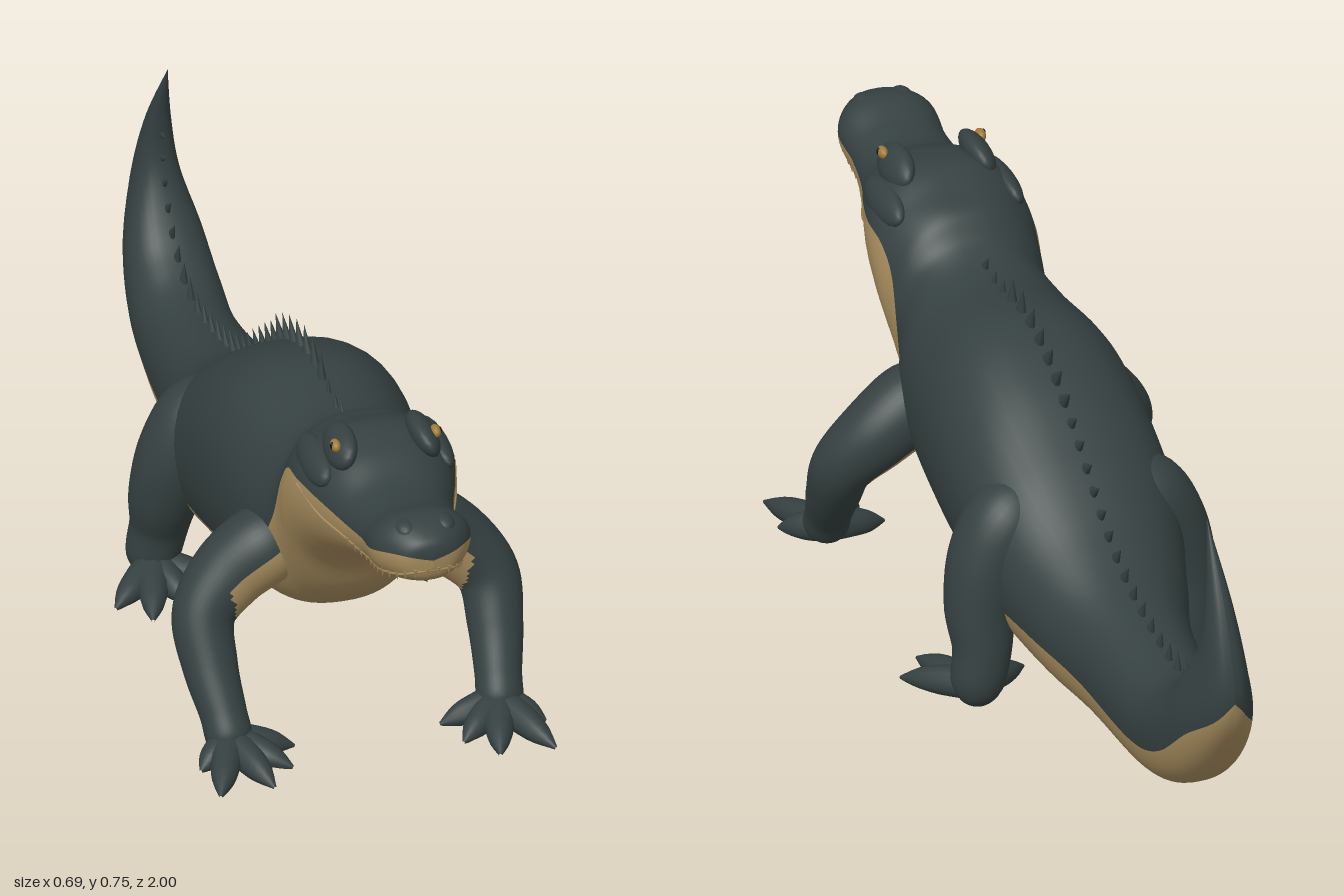
import * as THREE from 'three';

const mat = (name, color) => Object.assign(new THREE.MeshStandardMaterial({ color }), { name });
const HIDE = mat('dark hide', 0x354040), BELLY = mat('tan belly', 0xa48a5c);
const IRIS = mat('amber eye', 0xa07a35), PUPIL = mat('pupil black', 0x101312);

// Body sections, snout to tail: top z, top y, bottom z, bottom y, half width,
// height of the colour border (0..1)
const SECTIONS = [
  [1, .66, 1, .635, 0, .66],
  [.985, .692, .985, .602, .055, .66],
  [.92, .715, .92, .572, .098, .53],
  [.84, .693, .84, .55, .098, .55],
  [.76, .69, .76, .52, .11, .58],
  [.68, .722, .68, .485, .137, .6],
  [.6, .735, .6, .44, .16, .65],
  [.53, .712, .53, .38, .166, .72],
  [.47, .69, .48, .3, .158, .67],
  [.42, .64, .43, .25, .158, .5],
  [.33, .614, .33, .185, .188, .28],
  [.15, .628, .15, .135, .208, .24],
  [0, .58, 0, .108, .212, .21],
  [-.15, .487, -.15, .08, .204, .31],
  [-.3, .378, -.3, .06, .164, .41],
  [-.45, .316, -.45, .053, .12, .42],
  [-.66, .285, -.67, .055, .097, .39],
  [-.77, .32, -.82, .115, .092, .35],
  [-.835, .385, -.935, .235, .077, .27],
  [-.877, .475, -.998, .37, .046, 0],
  [-.877, .575, -.95, .54, .024, 0],
  [-.842, .703, -.845, .703, 0, 0],
];
const WIDEST = .53; // height of the widest point in every section

// Smooth interpolation between the rows of a table
function sample(rows, t) {
  const last = rows.length - 1, i = Math.min(Math.floor(t), last - 1), f = t - i;
  const row = k => rows[Math.max(0, Math.min(last, k))];
  const [a, b, c, d] = [row(i - 1), row(i), row(i + 1), row(i + 2)];
  return b.map((_, k) => b[k] + .5 * f * (c[k] - a[k]
    + f * (2 * a[k] - 5 * b[k] + 4 * c[k] - d[k] + f * (3 * (b[k] - c[k]) + d[k] - a[k]))));
}

// Skin over closed rings; light(i, j) picks the tan material
function loft(rings, light) {
  const n = rings[0].length, dark = [], tan = [];
  for (let i = 0; i < rings.length - 1; i++) for (let j = 0; j < n; j++) {
    const a = i * n + j, b = i * n + (j + 1) % n;
    (light(i, j) ? tan : dark).push(a, b, a + n, b, b + n, a + n);
  }
  const g = new THREE.BufferGeometry().setFromPoints(rings.flat());
  g.setIndex([...dark, ...tan]);
  g.addGroup(0, dark.length, 0);
  g.addGroup(dark.length, tan.length, 1);
  g.computeVertexNormals();
  return g;
}

// Angle around a section (0 at the top) for a given height, and the point there
const thetaAt = h => Math.acos(THREE.MathUtils.clamp((h - WIDEST) / (h > WIDEST ? 1 - WIDEST : WIDEST), -1, 1));
function sectionPoint([zt, yt, zb, yb, w], theta, side) {
  const c = Math.cos(theta), h = WIDEST + (c > 0 ? 1 - WIDEST : WIDEST) * c;
  const x = Math.max(0, w) * Math.pow(Math.max(0, Math.sin(theta)), .82);
  return new THREE.Vector3(side * x, yb + (yt - yb) * h, zb + (zt - zb) * h);
}

function bodyGeometry() {
  const D = 14, L = 14, steps = 160, rings = [];
  for (let i = 0; i <= steps; i++) {
    const s = sample(SECTIONS, i / steps * (SECTIONS.length - 1)), split = thetaAt(s[5]);
    const angle = k => k < D ? split * k / D : split + (Math.PI - split) * (k - D) / L;
    const ring = [];
    for (let j = 0; j < 2 * (D + L); j++) {
      const far = j > D + L;
      ring.push(sectionPoint(s, angle(far ? 2 * (D + L) - j : j), far ? -1 : 1));
    }
    rings.push(ring);
  }
  return loft(rings, (i, j) => j >= D && j < D + 2 * L);
}

// Tapered limb through rows of x, y, z, radius; kept above the ground
function limb(rows, steps, n, light = () => false) {
  const rings = [], pos = t => new THREE.Vector3(...sample(rows, t));
  for (let i = 0; i <= steps; i++) {
    const t = i / steps * (rows.length - 1), p = pos(t), r = Math.max(.001, sample(rows, t)[3]);
    const T = pos(Math.min(t + .02, rows.length - 1)).sub(pos(Math.max(0, t - .02))).normalize();
    const ref = Math.abs(T.z) > .8 ? new THREE.Vector3(0, 1, 0) : new THREE.Vector3(0, 0, 1);
    const U = T.clone().cross(ref).normalize(), V = T.clone().cross(U);
    rings.push(Array.from({ length: n }, (_, j) => {
      const a = j / n * Math.PI * 2;
      const q = p.clone().addScaledVector(U, r * Math.cos(a)).addScaledVector(V, r * Math.sin(a));
      q.y = Math.max(0, q.y);
      return q;
    }));
  }
  return loft(rings, (i, j) => light(i / steps, j / n));
}

function mirrored(geometry) {
  const g = geometry.clone().scale(-1, 1, 1), ix = g.index;
  for (let i = 0; i < ix.count; i += 3) {
    const b = ix.getX(i + 1);
    ix.setX(i + 1, ix.getX(i + 2));
    ix.setX(i + 2, b);
  }
  return g;
}

export function createModel() {
  const model = new THREE.Group();
  model.name = 'crocodile';
  const add = (name, geometry, material) => {
    const mesh = new THREE.Mesh(geometry, material);
    mesh.name = name;
    model.add(mesh);
    return mesh;
  };
  const addPair = (name, geometry, material) => {
    add('left' + name, geometry, material);
    add('right' + name, mirrored(geometry), material);
  };
  const blob = (x, y, z, a, b, c, tilt = 0) =>
    new THREE.SphereGeometry(1, 20, 14).scale(a, b, c).rotateZ(tilt).translate(x, y, z);
  const skin = [HIDE, BELLY];

  add('body', bodyGeometry(), skin);

  // Legs, with a tan patch inside the upper front leg
  addPair('FrontLeg', limb([[.09, .39, .37, .055], [.15, .36, .365, .078], [.225, .305, .365, .074], [.283, .235, .39, .062],
    [.285, .15, .44, .054], [.275, .075, .495, .046], [.27, .03, .525, .044], [.268, .005, .54, .02]], 60, 40,
    (t, a) => t < .46 - .5 * Math.abs(a > .5 ? a - 1 : a) && (a < .13 || a > .72)), skin);
  addPair('HindLeg', limb([[.1, .39, -.125, .065], [.14, .355, -.13, .085], [.18, .28, -.135, .083], [.205, .19, -.15, .071],
    [.21, .11, -.172, .058], [.222, .04, -.178, .052], [.225, .005, -.17, .03]], 40, 32), skin);

  // Splayed toes: ankle x and z, then tip positions
  const feet = {
    Front: [.268, .52, [[.345, .585], [.335, .69], [.225, .685], [.17, .62], [.145, .54]]],
    Hind: [.225, -.16, [[.332, -.05], [.275, .012], [.19, -.03], [.095, -.09]]],
  };
  for (const [name, [ax, az, tips]] of Object.entries(feet)) tips.forEach(([x, z], i) => {
    const at = (f, y, r) => [ax + (x - ax) * f, y, az + (z - az) * f, r];
    addPair(`${name}Toe${i + 1}`,
      limb([at(0, .026, .034), at(.35, .02, .031), at(.7, .012, .023), at(1, .004, .003)], 10, 12), skin);
  });

  // Brows, cheeks, eyes and nostrils
  addPair('Brow', blob(.083, .718, .64, .025, .04, .07, .5), HIDE);
  addPair('Cheek', blob(.122, .67, .6, .022, .035, .09, .5), HIDE);
  addPair('Eye', blob(.1, .737, .668, .01, .012, .017), IRIS);
  addPair('Pupil', blob(.1075, .739, .671, .004, .008, .004), PUPIL);
  addPair('Nostril', blob(.038, .694, .935, .022, .018, .03), HIDE);

  // Lip wrapping the snout (section, height), and small teeth along it
  const line = [[6, .62], [5, .47], [4, .39], [3, .25], [2, .2], [1.3, .2], [.8, .22]];
  const onMouth = side => line.map(([t, h]) => sectionPoint(sample(SECTIONS, t), thetaAt(h), side));
  const mouth = new THREE.CatmullRomCurve3([...onMouth(1), ...onMouth(-1).reverse()]);
  add('lip', new THREE.TubeGeometry(mouth, 90, .003, 6), BELLY);
  for (let i = 0; i < 26; i++) {
    const p = mouth.getPointAt(.2 + .6 * i / 25);
    add('tooth', new THREE.ConeGeometry(.005, .02, 6).rotateX(Math.PI).translate(p.x, p.y - .004, p.z), BELLY);
  }

  // Row of spines from the shoulders to the tail tip
  const ridge = SECTIONS.slice(9).map(([z, y]) => new THREE.Vector3(0, y, z));
  const top = new THREE.CatmullRomCurve3(ridge), count = 31, up = new THREE.Vector3(0, 1, 0);
  for (let i = 0; i < count; i++) {
    const u = .03 + .87 * i / (count - 1), p = top.getPointAt(u), T = top.getTangentAt(u);
    const normal = new THREE.Vector3(0, -T.z, T.y).addScaledVector(T, .25).normalize();
    const size = (u < .3 ? .052 : .043) * (u < .1 ? .6 : 1) * (u > .7 ? 1 - 2.2 * (u - .7) : 1);
    const spine = add('spine', new THREE.ConeGeometry(size * .3, size * 1.3, 8).scale(.75, 1, 1.25), HIDE);
    spine.quaternion.setFromUnitVectors(up, normal);
    spine.position.copy(p).addScaledVector(normal, size * .35);
  }
  return model;
}
